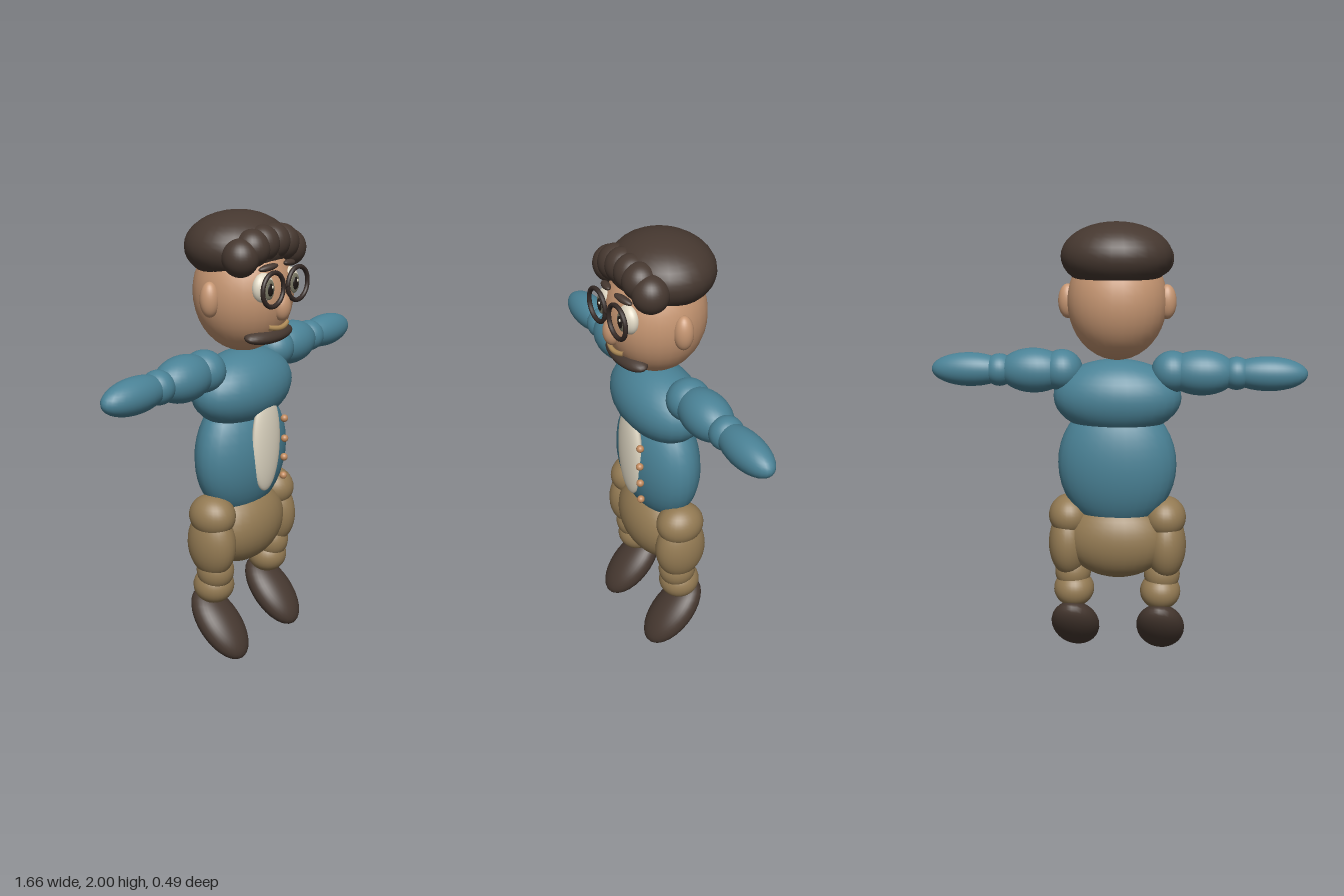
import * as THREE from 'three';

const mat = (name, color) => Object.assign(new THREE.MeshStandardMaterial({ color }), { name });

export function createModel() {
  const teal = mat('teal sweater', 0x4a8296);
  const skin = mat('skin', 0xc69672);
  const hair = mat('dark brown', 0x463830);
  const pants = mat('tan trousers', 0x937a53);
  const cream = mat('cream', 0xe0d8c4);
  const copper = mat('copper button', 0xc08a5e);
  const frame = mat('glasses frame', 0x352a26);
  const iris = mat('iris', 0x7c7a66);
  const pupil = mat('pupil', 0x1e1815);
  const lip = mat('lip', 0xb08c58);

  const model = new THREE.Group();
  model.name = 'figure';
  const ball = new THREE.SphereGeometry(1, 28, 20);

  const add = (name, geometry, material, p, r = [0, 0, 0]) => {
    const mesh = new THREE.Mesh(geometry, material);
    mesh.name = name;
    mesh.position.set(...p);
    mesh.rotation.set(...r);
    model.add(mesh);
    return mesh;
  };
  // Ellipsoid: centre, radii, rotation
  const egg = (name, material, p, s, r) => add(name, ball, material, p, r).scale.set(...s);

  // Body
  egg('chest', teal, [0, 1.24, -0.005], [0.285, 0.168, 0.172]);
  egg('torso', teal, [0, 0.935, -0.012], [0.267, 0.3, 0.157]);
  egg('hips', pants, [0, 0.585, -0.005], [0.24, 0.185, 0.155]);
  egg('shirtFront', cream, [0, 1.0, 0.128], [0.093, 0.23, 0.034]);
  for (const y of [1.085, 0.99, 0.9, 0.81]) {
    egg('button', copper, [0.115, y, 0.146 - Math.abs(y - 0.97) * 0.03], [0.017, 0.017, 0.017]);
  }

  // Head and hair
  egg('head', skin, [0, 1.66, 0], [0.217, 0.255, 0.217]);
  egg('hairCap', hair, [0, 1.855, -0.032], [0.24, 0.145, 0.215]);
  egg('nose', skin, [0, 1.623, 0.205], [0.042, 0.06, 0.037]);
  egg('beard', hair, [0, 1.497, 0.138], [0.15, 0.036, 0.06], [0.2, 0, 0]);

  // Smiling mouth
  const smile = new THREE.QuadraticBezierCurve3(
    new THREE.Vector3(-0.065, 1.543, 0.185),
    new THREE.Vector3(0, 1.522, 0.215),
    new THREE.Vector3(0.065, 1.543, 0.185));
  add('mouth', new THREE.TubeGeometry(smile, 16, 0.011, 8), lip, [0, 0, 0]);

  // Glasses bridge
  add('glassesBridge', new THREE.CylinderGeometry(0.008, 0.008, 0.04, 10), frame,
    [0, 1.712, 0.224], [0, 0, Math.PI / 2]);

  const ring = new THREE.TorusGeometry(0.07, 0.01, 10, 36);
  for (const s of [-1, 1]) {
    // Fringe curls
    for (const [x, y, z, r] of [[0.036, 1.882, 0.128, 0.074], [0.1, 1.87, 0.125, 0.076], [0.163, 1.838, 0.115, 0.077]]) {
      egg('fringeCurl', hair, [s * x, y, z], [r, r + 0.002, r]);
    }
    // Face
    egg('ear', skin, [s * 0.216, 1.66, -0.005], [0.042, 0.075, 0.042]);
    egg('eye', cream, [s * 0.087, 1.71, 0.172], [0.058, 0.064, 0.038]);
    egg('iris', iris, [s * 0.087, 1.708, 0.206], [0.032, 0.042, 0.0075]);
    egg('pupil', pupil, [s * 0.087, 1.708, 0.211], [0.019, 0.027, 0.0075]);
    egg('eyeGlint', cream, [s * 0.087 + 0.007, 1.719, 0.2165], [0.006, 0.007, 0.004]);
    egg('eyebrow', hair, [s * 0.072, 1.795, 0.188], [0.05, 0.014, 0.018], [0, s * 0.25, s * -0.12]);
    add('glassesRing', ring, frame, [s * 0.085, 1.71, 0.224]);

    // Arm
    egg('shoulder', teal, [s * 0.243, 1.357, -0.017], [0.092, 0.092, 0.095]);
    egg('upperArm', teal, [s * 0.37, 1.355, -0.02], [0.155, 0.099, 0.099]);
    egg('elbow', teal, [s * 0.523, 1.355, -0.02], [0.07, 0.072, 0.073]);
    egg('forearm', teal, [s * 0.657, 1.355, -0.02], [0.173, 0.075, 0.075]);

    // Leg
    egg('hipJoint', pants, [s * 0.217, 0.688, -0.002], [0.096, 0.096, 0.11]);
    egg('thigh', pants, [s * 0.223, 0.555, -0.002], [0.092, 0.16, 0.12]);
    egg('knee', pants, [s * 0.206, 0.415, 0.003], [0.083, 0.09, 0.087]);
    egg('shin', pants, [s * 0.2, 0.335, -0.012], [0.093, 0.085, 0.094]);
    egg('shoe', hair, [s * 0.2, 0.145, 0.022], [0.112, 0.075, 0.19], [Math.PI / 4, 0, 0]);
  }
  return model;
}
